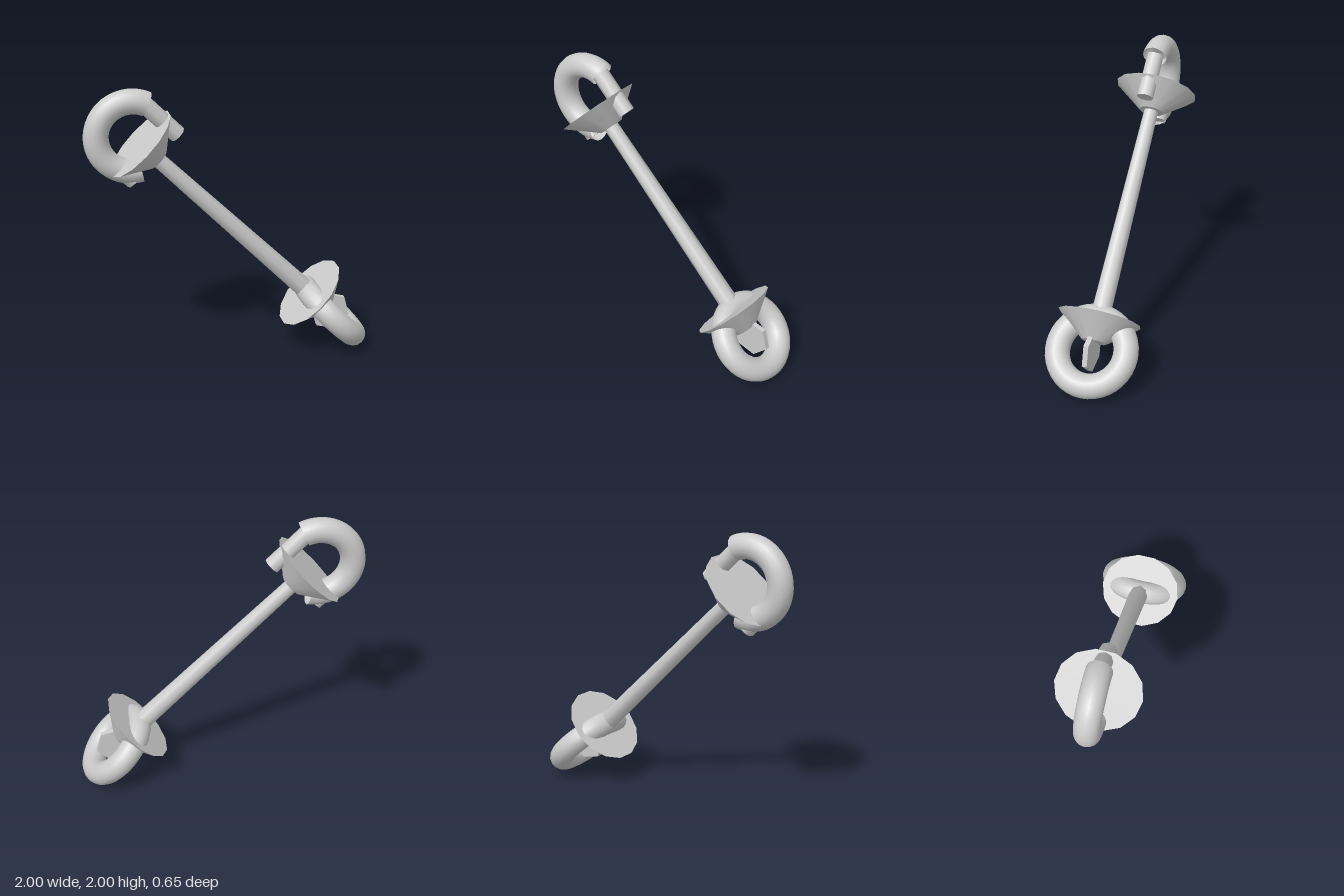
import * as THREE from 'three';

const RING = 0.24;   // ring centre-line radius
const TUBE = 0.086;  // ring thickness (radius)

export function createModel() {
  const model = new THREE.Group();
  model.name = 'linkRod';
  const grey = new THREE.MeshStandardMaterial({ color: 0xcccccc });
  const greyOpen = new THREE.MeshStandardMaterial({ color: 0xcccccc, side: THREE.DoubleSide });

  // Everything is built along a vertical axis, then tilted 45 degrees
  const assembly = new THREE.Group();
  assembly.name = 'tiltedAssembly';
  assembly.position.y = 1;
  assembly.rotation.z = Math.PI / 4;
  model.add(assembly);

  const add = (name, geometry, x, y, material = grey) => {
    const mesh = new THREE.Mesh(geometry, material);
    mesh.name = name;
    mesh.position.set(x, y, 0);
    assembly.add(mesh);
    return mesh;
  };

  // Slightly tapered shaft
  add('shaft', new THREE.CylinderGeometry(0.052, 0.07, 1.56, 8), 0, -0.05);

  // Conical collars, wide side towards the upper end
  for (const [name, y] of [['upperCollar', 0.788], ['lowerCollar', -0.909]]) {
    add(name, new THREE.CylinderGeometry(0.29, 0.085, 0.165, 14), 0, y);
  }

  // Open hook ring at the upper end
  const arc = THREE.MathUtils.degToRad(218);
  const hook = add('hookRing', new THREE.TorusGeometry(RING, TUBE, 16, 32, arc), 0, 0.948, greyOpen);
  hook.rotation.z = THREE.MathUtils.degToRad(20);

  // Pair of pegs running through the upper collar
  for (const side of [1, -1]) {
    add(side > 0 ? 'rightPeg' : 'leftPeg', new THREE.CylinderGeometry(0.06, 0.06, 0.32, 8), side * 0.215, 0.882);
  }

  // Closed ring at the lower end, turned a quarter
  const ring = add('closedRing', new THREE.TorusGeometry(RING, TUBE, 16, 40), 0, -1.055);
  ring.rotation.y = Math.PI / 2;

  // Thin hexagonal plate crossing the lower ring
  const plate = new THREE.CylinderGeometry(0.145, 0.145, 0.035, 6, 1, false, Math.PI / 6);
  plate.rotateX(Math.PI / 2);
  add('hexPlate', plate.toNonIndexed(), 0, -1.055).geometry.computeVertexNormals();

  return model;
}
